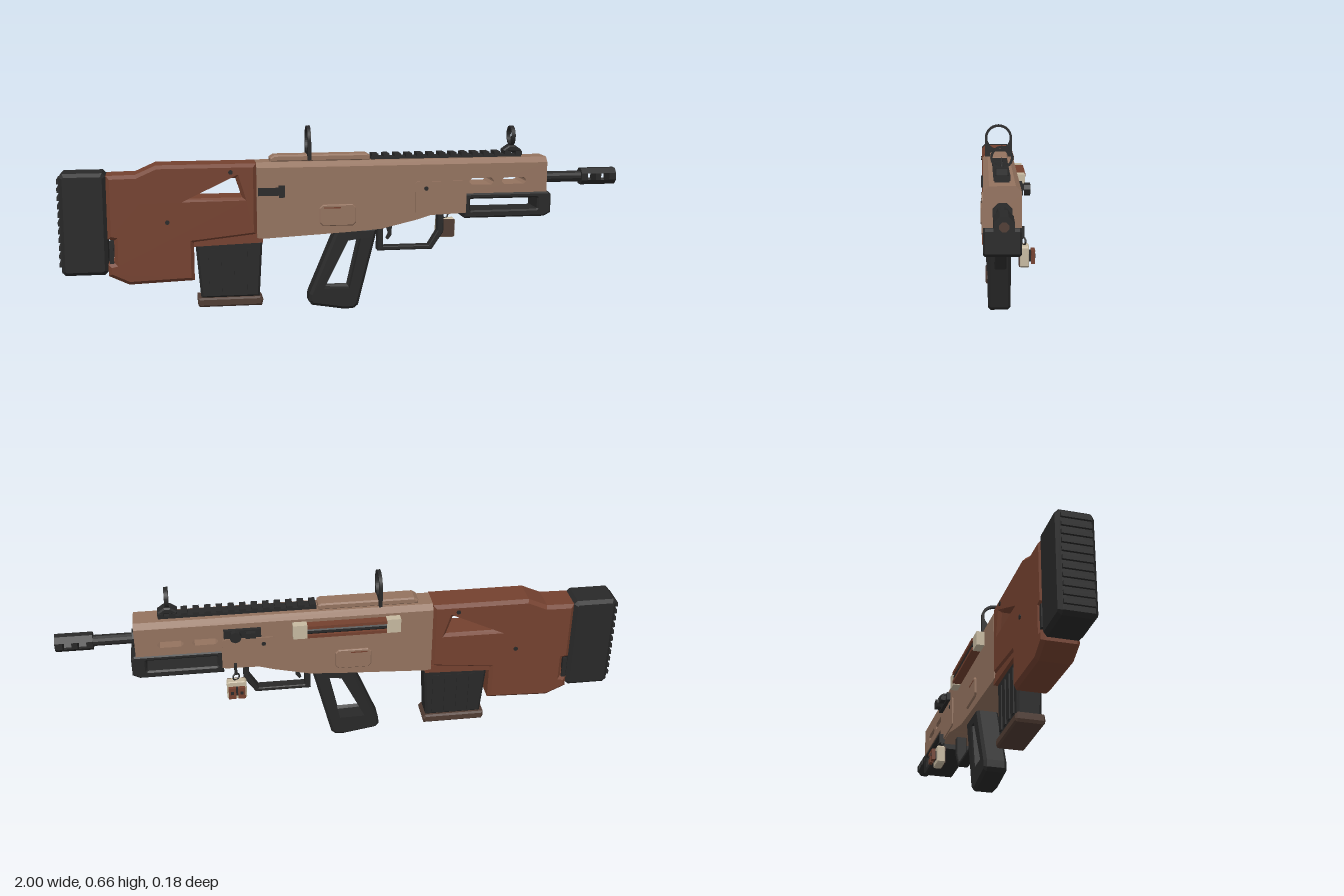
import * as THREE from 'three';

const mat = (name, color, side = THREE.FrontSide) => {
  const m = new THREE.MeshStandardMaterial({ color, side });
  m.name = name;
  m.flatShading = true;
  return m;
};

export function createModel() {
  const tan = mat('tan', 0x94735f), rust = mat('rust', 0x74412f);
  const black = mat('black', 0x282828, THREE.DoubleSide);
  const brown = mat('dark brown', 0x503c33), cream = mat('cream', 0xc6b9a0);
  const root = new THREE.Group();
  root.name = 'rifle';
  const gun = new THREE.Group();
  gun.name = 'gun';
  gun.position.z = 0.025; // centre plane of the body
  root.add(gun);

  const add = (name, geo, m, x = 0, y = 0, z = 0) => {
    const mesh = new THREE.Mesh(geo, m);
    mesh.name = name;
    mesh.position.set(x, y, z);
    gun.add(mesh);
    return mesh;
  };
  // box given by its x, y and z ranges
  const box = (name, m, x0, x1, y0, y1, z0, z1) =>
    add(name, new THREE.BoxGeometry(x1 - x0, y1 - y0, z1 - z0), m, (x0 + x1) / 2, (y0 + y1) / 2, (z0 + z1) / 2);
  const vecs = a => a.map(p => new THREE.Vector2(p[0], p[1]));
  // side profile extruded across z, with optional chamfer and holes
  const slab = (name, m, pts, depth, bevel = 0, holes = [], z = 0) => {
    const s = new THREE.Shape(vecs(pts));
    holes.forEach(h => s.holes.push(new THREE.Path(vecs(h))));
    const geo = new THREE.ExtrudeGeometry(s, {
      depth: depth - 2 * bevel, bevelEnabled: bevel > 0, bevelSize: bevel,
      bevelThickness: bevel, bevelOffset: -bevel, bevelSegments: 1, curveSegments: 8,
    });
    geo.translate(0, 0, bevel - depth / 2);
    return add(name, geo, m, 0, 0, z);
  };
  // cross-section in (z, y) extruded along x, centred on x
  const section = (name, m, shape, x, length) => {
    const geo = new THREE.ExtrudeGeometry(shape, { depth: length, bevelEnabled: false, curveSegments: 20 });
    geo.translate(0, 0, -length / 2);
    geo.rotateY(Math.PI / 2);
    return add(name, geo, m, x);
  };
  const rect = (x0, x1, y0, y1, c = 0) => [
    [x0 + c, y0], [x1 - c, y0], [x1, y0 + c], [x1, y1 - c], [x1 - c, y1], [x0 + c, y1], [x0, y1 - c], [x0, y0 + c]];
  const rod = (name, m, r, x0, x1, y, sides, z = 0) => {
    const geo = new THREE.CylinderGeometry(r, r, x1 - x0, sides);
    geo.rotateY(Math.PI / sides);
    geo.rotateZ(-Math.PI / 2);
    return add(name, geo, m, (x0 + x1) / 2, y, z);
  };

  // Butt pad with ridged rear face
  slab('buttPad', black, rect(-0.992, -0.835, 0.16, 0.515, 0.012), 0.122, 0.012);
  for (let i = 0; i < 11; i++) {
    const y = 0.19 + i * 0.029;
    box('buttRidge', black, -1, -0.98, y, y + 0.015, -0.048, 0.048);
  }

  // Stock with a see-through window
  slab('stock', rust, [[-0.835, 0.505], [-0.835, 0.285], [-0.813, 0.28], [-0.813, 0.2], [-0.835, 0.195], [-0.835, 0.155],
    [-0.765, 0.122], [-0.54, 0.13], [-0.54, 0.262], [-0.32, 0.285], [-0.32, 0.538], [-0.665, 0.538], [-0.735, 0.507]],
  0.122, 0.012, [[[-0.71, 0.42], [-0.37, 0.42], [-0.392, 0.488], [-0.71, 0.488]]]);
  slab('magazineCollar', rust, [[-0.54, 0.25], [-0.3, 0.258], [-0.3, 0.29], [-0.54, 0.28]], 0.108);

  // Magazine with ribs and floor plate
  slab('magazine', black, [[-0.518, 0.06], [-0.312, 0.06], [-0.3, 0.262], [-0.535, 0.262]], 0.082, 0.008);
  for (const s of [-1, 1]) for (let i = 0; i < 4; i++) {
    const x = -0.49 + i * 0.045;
    box('magazineRib', black, x, x + 0.022, 0.075, 0.235, s * 0.041 - 0.004, s * 0.041 + 0.004);
  }
  slab('magazineFloor', brown, [[-0.525, 0.03], [-0.305, 0.03], [-0.3, 0.05], [-0.31, 0.062], [-0.53, 0.062], [-0.53, 0.04]], 0.098, 0.006);

  // Receiver with vent slots, and its chamfered top
  const slot = x => rect(x, x + 0.09, 0.446, 0.47, 0.009);
  slab('receiver', tan, [[-0.32, 0.275], [-0.3, 0.272], [0, 0.287], [0.12, 0.295], [0.25, 0.325], [0.3, 0.34], [0.43, 0.345],
    [0.43, 0.415], [0.727, 0.415], [0.727, 0.52], [-0.32, 0.52]], 0.116, 0, [slot(0.44), slot(0.56)]);
  section('receiverTop', tan, new THREE.Shape(vecs([[-0.058, 0.515], [0.058, 0.515], [0.058, 0.522], [0.04, 0.54], [-0.04, 0.54], [-0.058, 0.522]])), 0.2035, 1.047);
  slab('topPad', tan, [[-0.27, 0.538], [0.085, 0.538], [0.085, 0.556], [0.075, 0.562], [-0.255, 0.562], [-0.27, 0.552]], 0.062, 0.005);

  // Side plates, latches and pins on both sides
  for (const s of [-1, 1]) {
    slab('frontPlate', tan, rect(0.243, 0.427, 0.345, 0.462, 0.006), 0.006, 0, [], s * 0.06);
    slab('sidePanel', tan, rect(-0.1, 0.03, 0.312, 0.388, 0.012), 0.01, 0.003, [], s * 0.061);
    box('panelMark', rust, -0.085, -0.025, 0.375, 0.379, s * 0.066 - 0.001, s * 0.066 + 0.001);
    for (const [x, y] of [[-0.63, 0.34], [-0.41, 0.51], [0.282, 0.437], [0.49, 0.368]]) {
      const pin = new THREE.CylinderGeometry(0.008, 0.008, 0.006, 8);
      pin.rotateX(Math.PI / 2);
      if (y !== 0.368) add('pin', pin, black, x, y, s * 0.0615);
    }
    box('stockCatch', black, -0.83, -0.815, 0.2, 0.28, s * 0.055 - 0.004, s * 0.055 + 0.004);
  }
  box('sideLatch', black, -0.315, -0.225, 0.424, 0.452, 0.05, 0.061);
  box('sideLatchEnd', black, -0.243, -0.222, 0.417, 0.46, 0.05, 0.064);

  // Toothed rail
  box('railBase', black, 0.09, 0.64, 0.538, 0.549, -0.022, 0.022);
  for (let i = 0; i < 14; i++) {
    const x = 0.093 + i * 0.0405;
    box('railTooth', black, x, x + 0.022, 0.546, 0.56, -0.026, 0.026);
  }

  // Rear sight: arched plate with a round hole
  const arch = new THREE.Shape();
  arch.moveTo(-0.05, 0.545);
  arch.lineTo(0.05, 0.545);
  arch.lineTo(0.05, 0.612);
  arch.absarc(0, 0.612, 0.05, 0, Math.PI, false);
  arch.holes.push(new THREE.Path().absarc(0, 0.612, 0.041, 0, Math.PI * 2, true));
  section('rearSight', black, arch, -0.133, 0.012);

  // Front sight: foot, ring and post
  slab('frontSightFoot', black, [[0.573, 0.556], [0.64, 0.556], [0.64, 0.564], [0.618, 0.58], [0.596, 0.58], [0.573, 0.564]], 0.044, 0.005);
  const ring = new THREE.Shape().absarc(0, 0.614, 0.035, 0, Math.PI * 2, false);
  ring.holes.push(new THREE.Path().absarc(0, 0.614, 0.028, 0, Math.PI * 2, true));
  section('frontSightRing', black, ring, 0.607, 0.014);
  add('frontSightPost', new THREE.ConeGeometry(0.006, 0.04, 6), black, 0.607, 0.596, 0);

  // Barrel and slotted octagonal muzzle
  rod('barrelCollar', black, 0.032, 0.72, 0.735, 0.46, 8);
  rod('barrel', black, 0.02, 0.73, 0.872, 0.46, 12);
  for (const [a, b] of [[0.87, 0.892], [0.923, 0.943], [0.974, 1]]) rod('muzzleRing', black, 0.032, a, b, 0.46, 8);
  for (const x of [0.9075, 0.9585]) for (const half of [0, 1]) {
    const geo = new THREE.CylinderGeometry(0.032, 0.032, 0.033, 3, 1, true, Math.PI / 8 + half * Math.PI, Math.PI * 0.75);
    geo.rotateZ(Math.PI / 2);
    add('muzzleShell', geo, black, x, 0.46, 0);
  }
  rod('muzzleBore', brown, 0.015, 0.99, 1.0, 0.46, 8).scale.set(1.02, 1, 1);

  // Open fore-end under the barrel
  slab('foreEnd', black, [[0.425, 0.325], [0.72, 0.325], [0.745, 0.338], [0.745, 0.405], [0.735, 0.414], [0.425, 0.414]],
    0.116, 0.006, [rect(0.446, 0.694, 0.352, 0.394, 0.003)]);

  // Pistol grip frame
  slab('grip', black, [[-0.035, 0.295], [0.112, 0.295], [0.104, 0.262], [0.042, 0.015], [0.028, 0.003], [-0.005, 0], [-0.125, 0.02], [-0.136, 0.033], [-0.134, 0.06]],
    0.082, 0.01, [[[-0.002, 0.262], [0.062, 0.268], [0.018, 0.067], [-0.094, 0.072]]]);

  // Trigger and guard
  slab('triggerGuard', black, [[0.115, 0.3], [0.115, 0.208], [0.315, 0.208], [0.357, 0.27], [0.357, 0.34], [0.336, 0.34],
    [0.336, 0.275], [0.304, 0.223], [0.136, 0.223], [0.136, 0.3]], 0.04, 0.003);
  slab('trigger', black, [[0.145, 0.305], [0.175, 0.32], [0.168, 0.28], [0.168, 0.262], [0.155, 0.245], [0.148, 0.25], [0.157, 0.268]], 0.016);

  // Round holder on the right side: cream ends, rust frame, dark core
  for (const x of [-0.2, 0.13]) box('holderEnd', cream, x, x + 0.05, 0.46, 0.513, -0.086, -0.057);
  box('holderBack', brown, -0.15, 0.13, 0.465, 0.508, -0.066, -0.057);
  for (const y of [0.463, 0.499]) box('holderRail', rust, -0.15, 0.13, y, y + 0.011, -0.09, -0.057);
  rod('holderCore', black, 0.012, -0.15, 0.13, 0.486, 8, -0.076);

  // Side knob
  box('knobBase', black, 0.29, 0.42, 0.472, 0.503, -0.072, -0.057);
  const knob = new THREE.CylinderGeometry(0.021, 0.021, 0.02, 8);
  knob.rotateX(Math.PI / 2);
  add('knob', knob, black, 0.38, 0.488, -0.086);
  box('knobLever', black, 0.31, 0.345, 0.478, 0.498, -0.09, -0.07);

  // Hanging charm
  const loop = add('charmLoop', new THREE.TorusGeometry(0.013, 0.003, 6, 12), black, 0.385, 0.316, -0.075);
  loop.rotation.y = 0.5;
  box('charmHook', black, 0.38, 0.39, 0.325, 0.365, -0.078, -0.057);
  slab('charmBody', cream, rect(0.35, 0.42, 0.233, 0.304, 0.006), 0.03, 0.003, [], -0.077);
  box('charmBack', brown, 0.353, 0.417, 0.236, 0.301, -0.063, -0.059);
  box('charmNeck', black, 0.365, 0.405, 0.252, 0.285, -0.101, -0.09);
  for (const x of [0.356, 0.389]) {
    box('charmTile', rust, x, x + 0.026, 0.246, 0.29, -0.112, -0.099);
    box('charmDot', black, x + 0.008, x + 0.018, 0.264, 0.276, -0.1135, -0.111);
  }
  return root;
}
